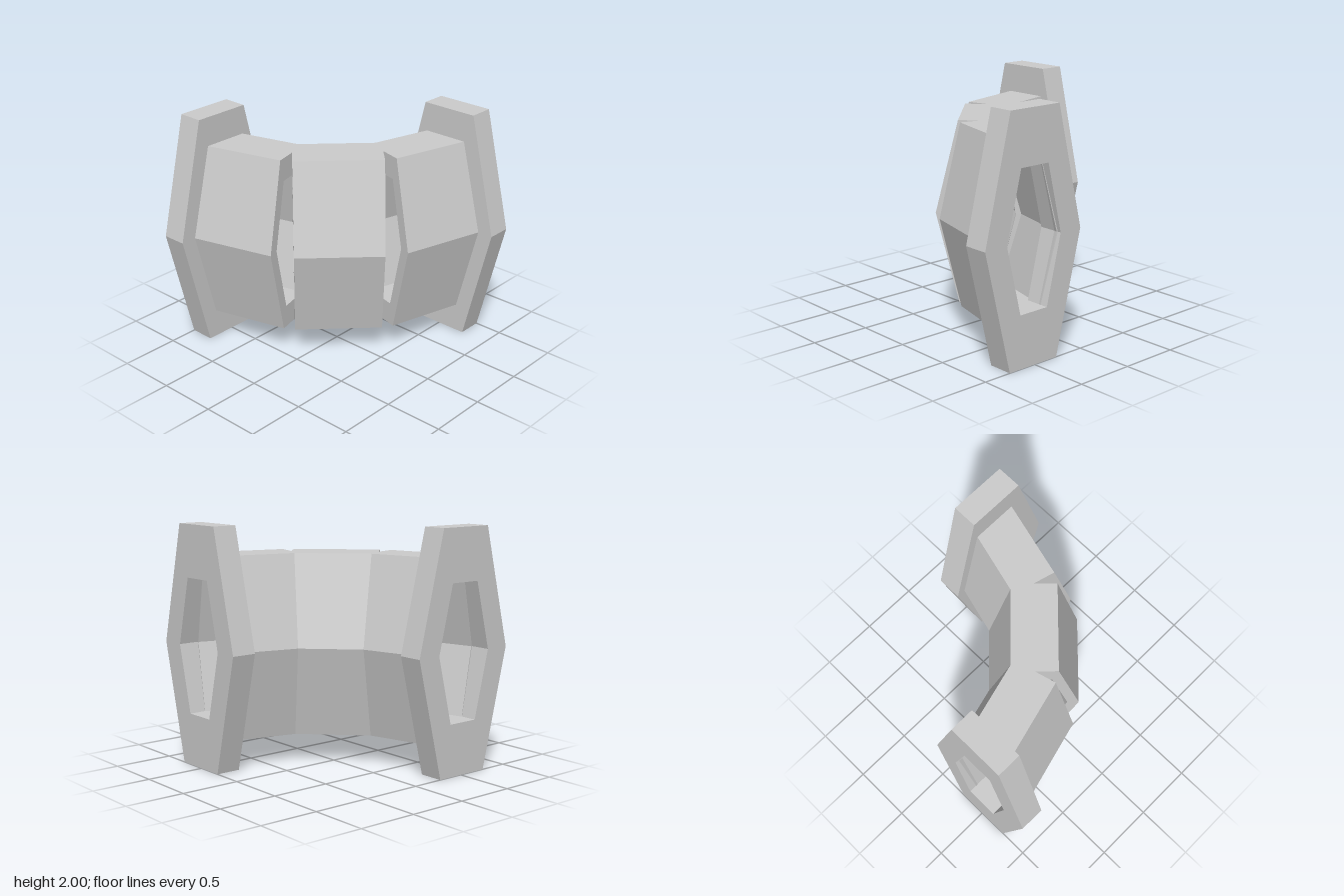
import * as THREE from 'three';

const material = new THREE.MeshStandardMaterial({ color: 0xcccccc, flatShading: true });

// Tall hexagon with points at the sides and flat top and bottom
const HALF_W = 0.4875, HALF_H = 1;
function hexagon(scale) {
  const w = HALF_W * scale, h = HALF_H * scale;
  return [[w, 0], [w / 2, h], [-w / 2, h], [-w, 0], [-w / 2, -h], [w / 2, -h]]
    .map(([x, y]) => new THREE.Vector2(x, y));
}

// Hollow hexagonal prism running from one floor-plan point [x, z] to another
function hollowPrism(name, scale, from, to) {
  const dx = to[0] - from[0], dz = to[1] - from[1];
  const shape = new THREE.Shape(hexagon(scale));
  shape.holes.push(new THREE.Path(hexagon(0.565)));
  const geometry = new THREE.ExtrudeGeometry(shape, { depth: Math.hypot(dx, dz), bevelEnabled: false });
  const mesh = new THREE.Mesh(geometry, material);
  mesh.name = name;
  mesh.position.set(from[0], 1, from[1]);
  mesh.rotation.y = Math.atan2(dx, dz);
  return mesh;
}

export function createModel() {
  const model = new THREE.Group();
  model.name = 'pipeElbow';

  // Quarter-circle centre line of the elbow, split into three straight pipes
  const centre = -0.895, radius = 1.4075, segments = 3;
  const point = (i) => {
    const a = (i / segments) * Math.PI / 2;
    return [centre + radius * Math.sin(a), centre + radius * Math.cos(a)];
  };
  for (let i = 0; i < segments; i++) {
    model.add(hollowPrism('pipeSegment' + (i + 1), 0.757, point(i), point(i + 1)));
  }

  // Square-on end flanges
  const mid = centre + radius;
  model.add(hollowPrism('rightFlange', 1, [-1, mid], [-0.79, mid]));
  model.add(hollowPrism('backFlange', 1, [mid, -1], [mid, -0.79]));
  return model;
}
